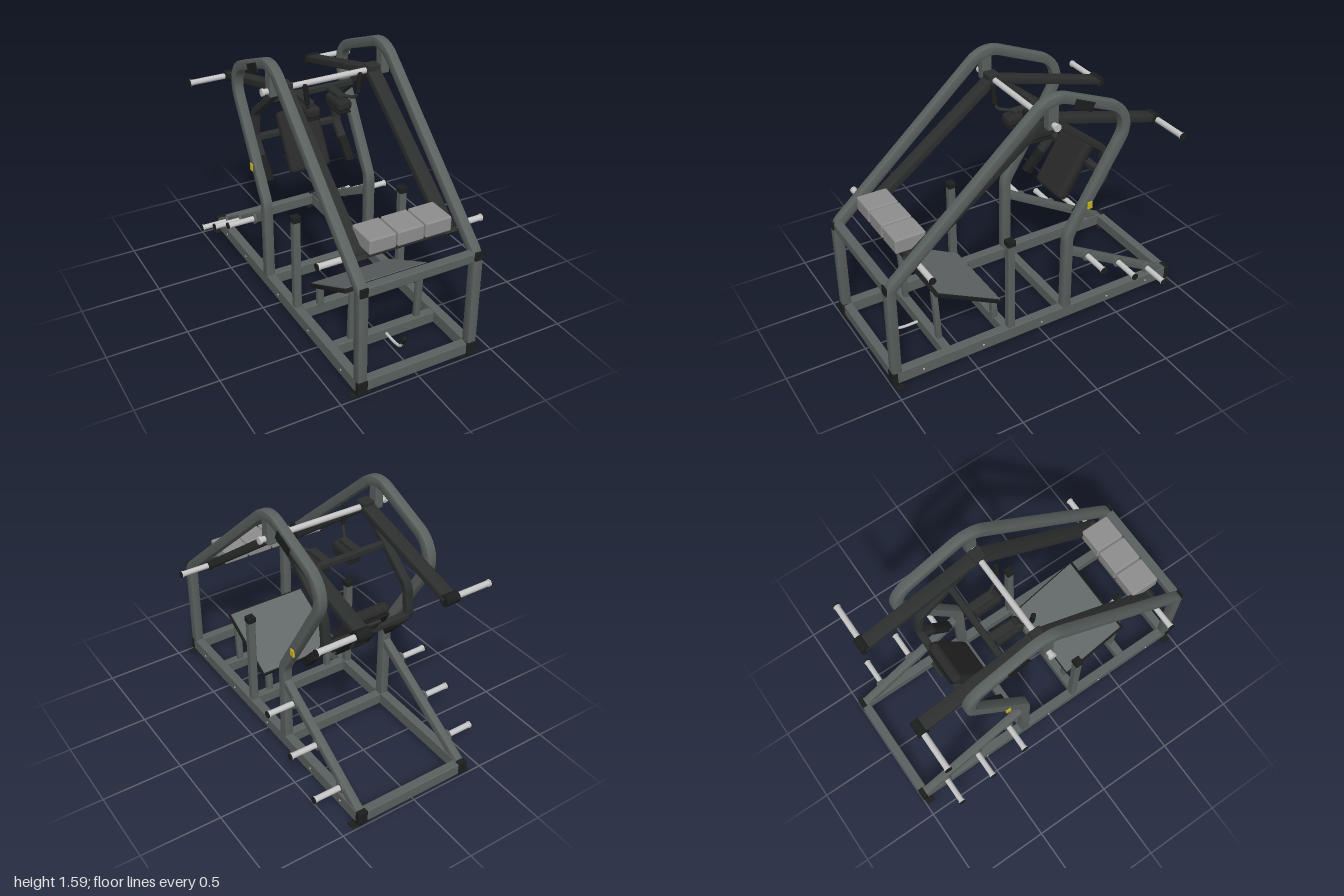
import * as THREE from 'three';
import { toCreasedNormals } from 'three/addons/utils/BufferGeometryUtils.js';
import { RoundedBoxGeometry } from 'three/addons/geometries/RoundedBoxGeometry.js';

const mat = (name, color) => Object.assign(new THREE.MeshStandardMaterial({ color }), { name });

export function createModel() {
  const model = new THREE.Group();
  model.name = 'leverSquatMachine';
  const frame = mat('frameGrey', 0x5a615f);
  const dark = mat('darkSteel', 0x2d2e2e);
  const rubber = mat('blackRubber', 0x1c1d1d);
  const pad = mat('padBlack', 0x292929);
  const steel = mat('brightSteel', 0xc4c4c4);
  const blockGrey = mat('blockGrey', 0x8e8e8f);
  const deck = mat('deckGrey', 0x636869);
  const yellow = mat('yellow', 0xcbb31f);

  const add = (name, geo, material, x = 0, y = 0, z = 0) => {
    const mesh = new THREE.Mesh(geo, material);
    mesh.name = name;
    mesh.position.set(x, y, z);
    model.add(mesh);
    return mesh;
  };
  const box = (name, m, x, y, z, w, h, d, r = 0.006) =>
    add(name, new RoundedBoxGeometry(w, h, d, 2, r), m, x, y, z);

  // Round the corners of a polyline of [z, y, radius] points with true arcs
  function roundPath(points) {
    const out = [];
    points.forEach(([z, y, r], i) => {
      const v = new THREE.Vector2(z, y);
      if (!r) return out.push(v);
      const a = new THREE.Vector2(...points[i - 1].slice(0, 2)).sub(v).normalize();
      const b = new THREE.Vector2(...points[i + 1].slice(0, 2)).sub(v).normalize();
      const half = (Math.PI - Math.acos(a.dot(b))) / 2;
      const w = Math.cos(half), len = r * Math.tan(half);
      const p = v.clone().addScaledVector(a, len), q = v.clone().addScaledVector(b, len);
      for (let k = 0; k <= 10; k++) {
        const t = k / 10, c0 = (1 - t) ** 2, c1 = 2 * w * t * (1 - t), c2 = t * t;
        out.push(new THREE.Vector2().addScaledVector(p, c0).addScaledVector(v, c1)
          .addScaledVector(q, c2).divideScalar(c0 + c1 + c2));
      }
    });
    return out;
  }

  // Rectangular tube following a path in the side plane, centred on x
  function bar(name, m, x, width, thick, points, bevel = 0.006) {
    const path = roundPath(points), left = [], right = [];
    path.forEach((p, i) => {
      const d0 = p.clone().sub(path[Math.max(i - 1, 0)]).normalize();
      const d1 = path[Math.min(i + 1, path.length - 1)].clone().sub(p).normalize();
      const d = d0.add(d1).normalize();
      const n = new THREE.Vector2(-d.y, d.x).multiplyScalar(thick / 2);
      left.push(p.clone().add(n));
      right.unshift(p.clone().sub(n));
    });
    const geo = new THREE.ExtrudeGeometry(new THREE.Shape([...left, ...right]), {
      depth: width - 2 * bevel, bevelEnabled: bevel > 0, bevelThickness: bevel,
      bevelSize: bevel, bevelOffset: -bevel, bevelSegments: 2,
    });
    geo.translate(0, 0, -width / 2 + bevel).rotateY(-Math.PI / 2);
    return add(name, toCreasedNormals(geo, 0.6), m, x);
  }

  // Round rod along x between two x positions
  function rod(name, m, x0, x1, y, z, r) {
    const geo = new THREE.CylinderGeometry(r, r, Math.abs(x1 - x0), 20).rotateZ(Math.PI / 2);
    return add(name, geo, m, (x0 + x1) / 2, y, z);
  }
  function peg(s, x0, x1, y, z) {
    rod('weightPeg', steel, s * x0, s * (x1 - 0.008), y, z, 0.018);
    rod('pegRing', steel, s * (x1 - 0.018), s * (x1 - 0.008), y, z, 0.021);
    rod('pegCap', rubber, s * (x1 - 0.008), s * x1, y, z, 0.021);
  }

  // Cross members of the base and the front
  for (const z of [0.96, 0.62, 0.22, -0.195, -0.97])
    box('baseCrossMember', frame, 0, 0.058, z, 0.67, 0.075, 0.055);
  box('frontCrossMember', frame, 0, 0.685, 0.965, 0.67, 0.058, 0.055);

  for (const s of [-1, 1]) {
    const X = s * 0.362;
    // Base rail, end caps, feet and bolts
    box('baseRail', frame, X, 0.058, 0, 0.058, 0.083, 1.97);
    for (const e of [-1, 1]) {
      box('railCap', rubber, X, 0.056, e * 0.982, 0.063, 0.09, 0.036);
      box('footPlate', rubber, X, 0.004, e * 0.962, 0.13, 0.008, 0.05, 0.002);
      box('footBlock', rubber, X, 0.013, e * 0.962, 0.06, 0.02, 0.05, 0.003);
    }
    for (const z of [0.8, 0.4, -0.01, -0.5, -0.81])
      rod('railBolt', steel, s * 0.39, s * 0.394, 0.056, z, 0.006);

    // Bent side frame, one continuous tube
    bar('sideFrame', frame, X, 0.06, 0.06, [[0.965, 0.09], [0.965, 0.685, 0.1],
      [-0.055, 1.593, 0.18], [-0.636, 1.356, 0.165], [-0.195, 0.617, 0.15], [-0.195, 0.09]], 0.009);
    box('postCap', rubber, X, 0.69, 0.992, 0.05, 0.055, 0.012, 0.003);
    box('pivotHanger', frame, X, 1.47, -0.06, 0.055, 0.16, 0.065);
    bar('frameLabel', rubber, s * 0.394, 0.008, 0.058, [[-0.19, 1.517], [-0.315, 1.464]], 0);
    box('lockPin', yellow, s * 0.393, 0.81, -0.328, 0.012, 0.048, 0.034, 0.003);

    // Stop post standing on the rail
    box('stopPost', frame, X, 0.4, 0.2, 0.046, 0.62, 0.046);
    box('stopPostCap', rubber, X, 0.715, 0.2, 0.054, 0.04, 0.052);

    // Rear diagonal brace with storage pegs
    bar('rearBrace', frame, X, 0.05, 0.05, [[-0.2, 0.515], [-0.96, 0.075]]);
    for (const [y, z] of [[0.44, -0.33], [0.3, -0.57], [0.16, -0.81]]) {
      rod('pegFlange', frame, s * 0.384, s * 0.398, y, z, 0.034);
      peg(s, 0.39, 0.575, y, z);
    }

    // Lever arm: long front part, shorter rear part
    const A = s * 0.287;
    bar('frontLeverArm', dark, A, 0.085, 0.048, [[-0.075, 1.43], [0.815, 0.757]]);
    bar('rearLeverArm', dark, A, 0.085, 0.042, [[-0.03, 1.427], [-0.84, 1.21]]);
    box('pivotBlock', dark, A, 1.42, -0.06, 0.078, 0.07, 0.075);
    rod('rearArmHub', rubber, s * 0.245, s * 0.335, 1.21, -0.835, 0.034);
    peg(s, 0.3, 0.575, 1.21, -0.835);
    rod('frontArmHub', rubber, s * 0.245, s * 0.335, 0.78, 0.78, 0.03);
    peg(s, 0.3, 0.53, 0.78, 0.78);
    rod('pivotEnd', steel, s * 0.415, s * 0.43, 1.42, -0.06, 0.023);

    // Curved carrier of the back pad
    bar('padCarrier', dark, s * 0.285, 0.05, 0.042, [[-0.07, 1.425], [-0.48, 1.1, 0.09],
      [-0.505, 0.91, 0.1], [-0.31, 0.69]]);
    bar('carrierGrip', rubber, s * 0.285, 0.058, 0.052, [[-0.42, 0.815], [-0.31, 0.69]], 0.01);

    // Shoulder pad with its bracket and handle
    const P = s * 0.105;
    box('shoulderPad', pad, P, 1.222, -0.135, 0.095, 0.07, 0.185, 0.026);
    box('shoulderPadPlate', rubber, P, 1.178, -0.135, 0.085, 0.012, 0.16, 0.004);
    box('shoulderBracket', dark, P, 1.268, -0.18, 0.05, 0.026, 0.18);
    const handle = new THREE.CatmullRomCurve3([[0.177, 1.42, -0.01], [0.168, 1.33, -0.012],
      [0.158, 1.285, -0.025], [0.135, 1.272, -0.07], [0.105, 1.27, -0.12]]
      .map(([x, y, z]) => new THREE.Vector3(s * x, y, z)));
    add('handle', new THREE.TubeGeometry(handle, 24, 0.01, 10), dark);
    const grip = new THREE.LineCurve3(new THREE.Vector3(s * 0.179, 1.425, -0.008),
      new THREE.Vector3(s * 0.167, 1.32, -0.012));
    add('handleGrip', new THREE.TubeGeometry(grip, 1, 0.015, 12), rubber);
    for (const [x, y] of [[0.179, 1.425], [0.167, 1.32]])
      add('gripEnd', new THREE.SphereGeometry(0.015, 12, 8), rubber, s * x, y, -0.01);

    // Legs of the foot platform
    bar('platformFrontLeg', frame, s * 0.225, 0.04, 0.034, [[0.615, 0.08], [0.635, 0.44]]);
    bar('platformRearLeg', frame, s * 0.225, 0.04, 0.04, [[0.235, 0.08], [0.24, 0.225]]);
  }

  // Pivot axle and cross bars
  rod('pivotAxle', steel, -0.42, 0.42, 1.42, -0.06, 0.018);
  box('shoulderCrossBar', dark, 0, 1.268, -0.26, 0.54, 0.036, 0.036);
  box('padCrossBar', dark, 0, 0.91, -0.5, 0.56, 0.036, 0.045);
  box('armCrossBar', dark, 0, 0.785, 0.78, 0.63, 0.052, 0.055);

  // Row of grey blocks on the front cross bar
  for (const i of [-1, 0, 1])
    box('weightBlock', blockGrey, i * 0.175, 0.861, 0.77, 0.167, 0.092, 0.19, 0.01);

  // Tilted back pad with its backing plates
  const back = new THREE.Group();
  back.name = 'backPad';
  back.position.set(0, 0.87, -0.415);
  back.rotation.x = -0.54;
  [['backCushion', pad, 0.28, 0.4, 0.07, 0, 0.01, 0.03],
    ['backPlate', rubber, 0.24, 0.36, 0.014, 0, -0.036, 0.005],
    ['backSpine', dark, 0.1, 0.3, 0.02, 0.03, -0.054, 0.005]]
    .forEach(([n, m, w, h, d, y, z, r]) => back.add(box(n, m, 0, y, z, w, h, d, r)));
  model.add(back);

  // Sloping foot platform with grey deck
  bar('footPlatform', rubber, 0, 0.56, 0.025, [[0.64, 0.452], [0.215, 0.226]], 0.004);
  bar('platformDeck', deck, 0, 0.54, 0.008, [[0.625, 0.459], [0.217, 0.242]], 0);

  // Small release pedal on a bent rod
  const pedalRod = new THREE.CatmullRomCurve3([[0, 0.06, 0.63], [0, 0.06, 0.75], [0, 0.075, 0.8], [0, 0.12, 0.82]]
    .map(p => new THREE.Vector3(...p)));
  add('pedalRod', new THREE.TubeGeometry(pedalRod, 16, 0.009, 8), steel);
  box('pedal', rubber, 0, 0.135, 0.83, 0.032, 0.06, 0.026, 0.01).rotation.x = 0.5;

  return model;
}
